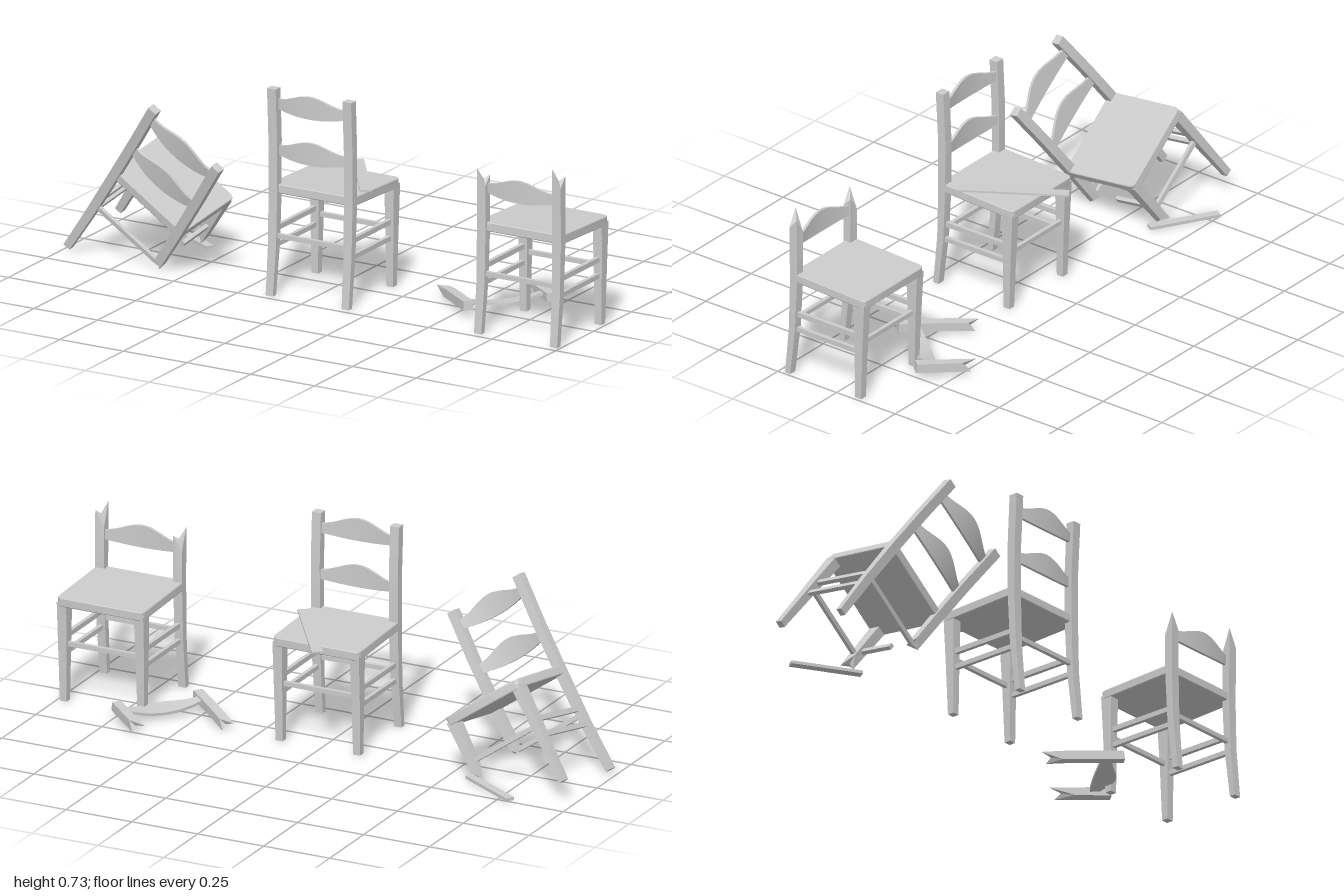
import * as THREE from 'three';
import { toCreasedNormals } from 'three/addons/utils/BufferGeometryUtils.js';

const material = new THREE.MeshStandardMaterial({ color: 0xcccccc, side: THREE.DoubleSide });
const V = (x, y, z) => new THREE.Vector3(x, y, z);

function mesh(name, geometry, parent) {
  const m = new THREE.Mesh(toCreasedNormals(geometry, 0.5), material);
  m.name = name;
  parent.add(m);
  return m;
}

// Skin a list of equal rings and close both ends
function loft(rings) {
  const pos = [];
  const tri = (...pts) => pts.forEach((p) => pos.push(p.x, p.y, p.z));
  const mid = (r) => r.reduce((s, p) => s.add(p), V(0, 0, 0)).divideScalar(r.length);
  const n = rings[0].length;
  for (let i = 0; i < rings.length - 1; i++) {
    for (let j = 0; j < n; j++) {
      const k = (j + 1) % n, a = rings[i], b = rings[i + 1];
      tri(a[j], a[k], b[k]);
      tri(a[j], b[k], b[j]);
    }
  }
  const first = rings[0], last = rings[rings.length - 1];
  for (let j = 0; j < n; j++) {
    const k = (j + 1) % n;
    tri(mid(first), first[k], first[j]);
    tri(mid(last), last[j], last[k]);
  }
  const g = new THREE.BufferGeometry();
  g.setAttribute('position', new THREE.Float32BufferAttribute(pos, 3));
  return g;
}

// Profiles of uprights: height, x, z, width, depth
const POST = [[0, 0.149, 0.215, 0.028, 0.022], [0.18, 0.148, 0.196, 0.032, 0.026],
  [0.36, 0.148, 0.189, 0.034, 0.03], [0.55, 0.148, 0.189, 0.034, 0.031], [0.73, 0.148, 0.198, 0.034, 0.032]];
const LEG = [[0, 0.147, -0.083, 0.026, 0.025], [0.2, 0.147, -0.086, 0.032, 0.034], [0.36, 0.146, -0.089, 0.036, 0.045]];
const SPLINTER = [0.045, -0.02, 0.015, -0.04];

function sample(profile, y) {
  const i = Math.max(1, profile.findIndex((s) => s[0] >= y));
  const a = profile[i - 1], b = profile[i], t = (y - a[0]) / (b[0] - a[0]);
  return a.map((v, k) => v + (b[k] - v) * t);
}

// Upright between two heights, with optional splintered ends
function upright(name, parent, profile, side, { from = 0, to = profile.at(-1)[0], jagFrom = 0, jagTo = 0 } = {}) {
  const pad = 0.05;
  const ys = [from, ...profile.map((s) => s[0]).filter((y) => y > from + pad && y < to - pad), to];
  const rings = ys.map((h, i) => {
    const [y, x, z, w, d] = sample(profile, h);
    const jag = i === 0 ? jagFrom : i === ys.length - 1 ? jagTo : 0;
    return [[-1, 1], [1, 1], [1, -1], [-1, -1]].map(([sx, sz], j) =>
      V(side * x + sx * w / 2, y + jag * SPLINTER[j], z + sz * d / 2));
  });
  mesh(name, loft(rings), parent);
}

// Bowed back slat: ogee top edge, gently swelling bottom edge
function slat(name, parent, y, z) {
  const rings = [];
  for (let i = 0; i <= 20; i++) {
    const t = i / 10 - 1, c = (1 + Math.cos(Math.PI * t)) / 2;
    const top = y + 0.018 + 0.032 * c, low = y - 0.015 - 0.014 * (1 - t * t);
    const zc = z - 0.005 + 0.019 * (1 - t * t), x = t * 0.136;
    rings.push([V(x, low, zc - 0.005), V(x, top, zc - 0.005), V(x, top, zc + 0.005), V(x, low, zc + 0.005)]);
  }
  mesh(name, loft(rings), parent);
}

// Square bar between two points
function bar(name, parent, a, b, w, h) {
  const m = mesh(name, new THREE.BoxGeometry(w, h, a.distanceTo(b)), parent);
  m.position.copy(a).add(b).multiplyScalar(0.5);
  m.lookAt(b);
}

function seat(parent) {
  const s = new THREE.Shape();
  const w = 0.163, f = -0.113, r = 0.022;
  s.moveTo(-w + r, f);
  s.lineTo(w - r, f);
  s.quadraticCurveTo(w, f, w, f + r);
  s.lineTo(w, 0.172);
  s.lineTo(0.128, 0.172);
  s.lineTo(0.128, 0.195);
  s.lineTo(-0.128, 0.195);
  s.lineTo(-0.128, 0.172);
  s.lineTo(-w, 0.172);
  s.lineTo(-w, f + r);
  s.quadraticCurveTo(-w, f, -w + r, f);
  const g = new THREE.ExtrudeGeometry(s, { depth: 0.026, bevelThickness: 0.003, bevelSize: 0.002, bevelSegments: 1, curveSegments: 6 });
  g.rotateX(Math.PI / 2);
  g.rotateX(-0.04);
  g.translate(0, 0.38, 0);
  mesh('seat', g, parent);
}

function chair(name, { leftPost, rightPost, leftLeg, topSlat = true, brokenRail = false } = {}) {
  const g = new THREE.Group();
  g.name = name;
  seat(g);
  upright('rightBackPost', g, POST, -1, rightPost);
  upright('leftBackPost', g, POST, 1, leftPost);
  upright('rightFrontLeg', g, LEG, -1);
  upright('leftFrontLeg', g, LEG, 1, leftLeg);
  slat('lowerSlat', g, 0.509, 0.189);
  if (topSlat) slat('upperSlat', g, 0.674, 0.195);
  // Stretchers
  for (const side of [-1, 1]) {
    const x = side * 0.147, broken = brokenRail && side === 1;
    bar('upperSideRail', g, V(x, 0.231, -0.08), V(x, 0.231, broken ? 0.07 : 0.19), 0.014, 0.018);
    if (!broken) bar('lowerSideRail', g, V(x, 0.173, -0.08), V(x, 0.173, 0.195), 0.014, 0.017);
  }
  for (const z of [-0.086, 0.194]) bar('crossRail', g, V(-0.145, 0.208, z), V(0.145, 0.208, z), 0.014, 0.016);
  return g;
}

// Orient a group by its x and y axes and bring a local point to a given place
function place(group, xAxis, yAxis, local, target) {
  const y = yAxis.clone().normalize();
  const z = xAxis.clone().cross(y).normalize();
  const x = y.clone().cross(z);
  group.quaternion.setFromRotationMatrix(new THREE.Matrix4().makeBasis(x, y, z));
  group.position.copy(target).sub(local.clone().applyQuaternion(group.quaternion));
  return group;
}

export function createModel() {
  const model = new THREE.Group();
  model.name = 'brokenChairs';

  // Whole chair with a loose strip of wood on its seat
  const whole = chair('wholeChair');
  whole.position.x = 0.01;
  model.add(whole);
  bar('looseStrip', model, V(-0.037, 0.385, -0.19), V(0.178, 0.395, 0.122), 0.038, 0.007);

  // Chair with its upper back snapped off
  const snapped = chair('snappedChair', {
    rightPost: { to: 0.54, jagTo: 0.9 }, leftPost: { to: 0.58, jagTo: 1 }, topSlat: false,
  });
  snapped.position.x = 0.828;
  model.add(snapped);

  // Upper back lying on the ground
  const back = new THREE.Group();
  back.name = 'fallenBack';
  upright('rightPostPiece', back, POST, -1, { from: 0.48, jagFrom: 0.8 });
  upright('leftPostPiece', back, POST, 1, { from: 0.56, jagFrom: 1 });
  slat('upperSlat', back, 0.674, 0.195);
  model.add(place(back, V(0.65, 0, -0.755), V(0.755, 0.12, 0.65), V(-0.148, 0.59, 0.19), V(0.45, 0.031, -0.01)));

  // Toppled chair resting on its broken legs
  const toppled = chair('toppledChair', {
    leftPost: { from: 0.21, jagFrom: 0.4 }, leftLeg: { from: 0.165, jagFrom: 0.6 }, brokenRail: true,
  });
  model.add(place(toppled, V(0.82, -0.565, -0.03), V(0.566, 0.8, 0.2), V(-0.149, 0, 0.215), V(-0.98, 0.016, 0.138)));

  // Broken leg on the ground
  bar('brokenLeg', model, V(-0.575, 0.007, -0.115), V(-0.795, 0.006, -0.243), 0.03, 0.011);
  return model;
}
